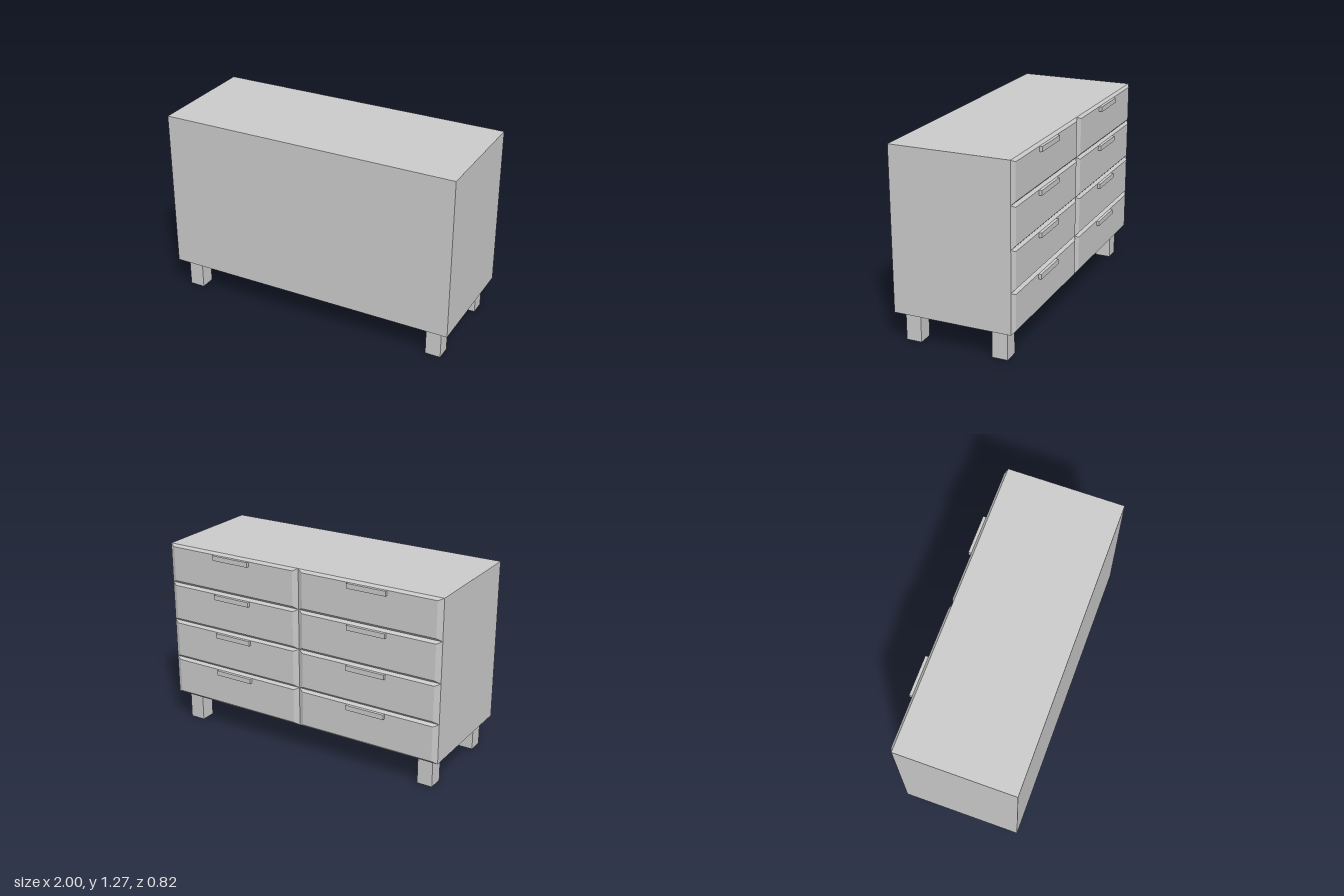
import * as THREE from 'three';

const grey = new THREE.MeshStandardMaterial({ color: 0xcccccc, flatShading: true });
const greyOpen = new THREE.MeshStandardMaterial({ color: 0xcccccc, flatShading: true, side: THREE.DoubleSide });

const BOTTOM = 0.2, TOP = 1.275;
const FRONT = 0.411, BACK = -0.375, FACE = -0.391, GRIP = -0.411;

// Box given by its limits on each axis
function block(name, [x0, x1], [y0, y1], [z0, z1]) {
  const mesh = new THREE.Mesh(new THREE.BoxGeometry(x1 - x0, y1 - y0, z1 - z0), grey);
  mesh.position.set((x0 + x1) / 2, (y0 + y1) / 2, (z0 + z1) / 2);
  mesh.name = name;
  return mesh;
}

// Drawer slab whose outer (-z) face is inset to form a bevel on all four sides
function drawerFront(w, h, insetX, insetY) {
  const depth = BACK - FACE;
  const geo = new THREE.BoxGeometry(w, h, depth);
  const p = geo.attributes.position;
  for (let i = 0; i < p.count; i++) {
    if (p.getZ(i) < 0) {
      p.setX(i, p.getX(i) - Math.sign(p.getX(i)) * insetX);
      p.setY(i, p.getY(i) - Math.sign(p.getY(i)) * insetY);
    }
  }
  geo.computeVertexNormals();
  const mesh = new THREE.Mesh(geo, grey);
  mesh.name = 'drawerFront';
  mesh.position.z = (BACK + FACE) / 2;
  return mesh;
}

export function createModel() {
  const model = new THREE.Group();
  model.name = 'chestOfDrawers';

  model.add(block('cabinet', [-1, 1], [BOTTOM, TOP], [BACK, FRONT]));

  // Two columns of four drawers, each with a bar handle at its top edge
  const rows = 4, h = (TOP - BOTTOM) / rows;
  for (const x of [-0.5, 0.5]) {
    for (let r = 0; r < rows; r++) {
      const drawer = new THREE.Group();
      drawer.name = 'drawer';
      drawer.position.set(x, BOTTOM + (r + 0.5) * h, 0);
      drawer.add(drawerFront(1, h, 0.035, 0.017));
      const gripTop = h / 2 - 0.017;
      drawer.add(block('handle', [-0.134, 0.134], [gripTop - 0.033, gripTop], [GRIP, FACE]));
      model.add(drawer);
    }
  }

  // Square hollow legs, open underneath
  const legGeo = new THREE.CylinderGeometry(0.0515 * Math.SQRT2, 0.0515 * Math.SQRT2, BOTTOM, 4, 1, true, Math.PI / 4);
  for (const x of [-0.892, 0.892]) {
    for (const z of [0.312, -0.274]) {
      const leg = new THREE.Mesh(legGeo, greyOpen);
      leg.name = 'leg';
      leg.position.set(x, BOTTOM / 2, z);
      model.add(leg);
    }
  }
  return model;
}
